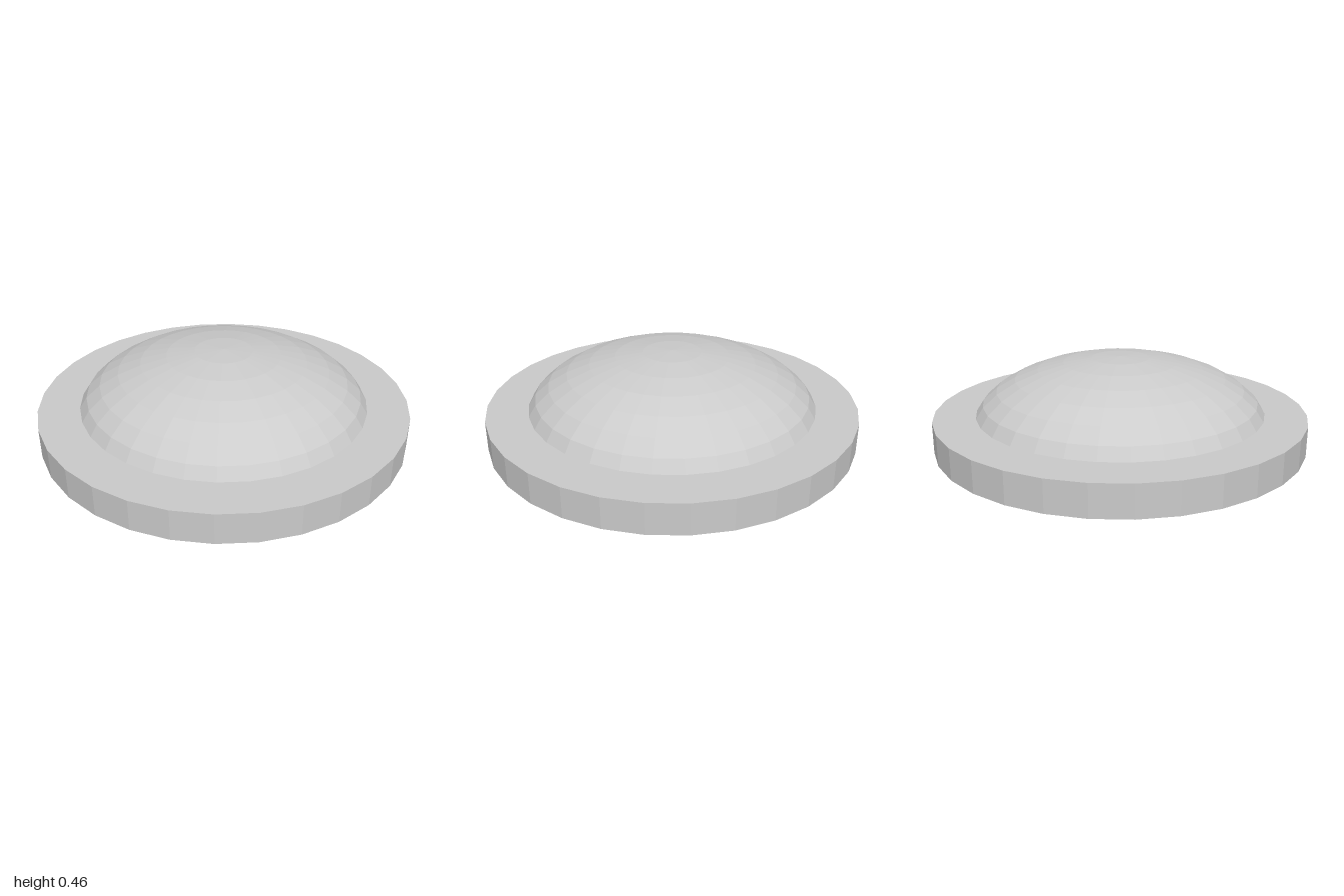
import * as THREE from 'three';

const SEGMENTS = 32;
const RIM_HEIGHT = 0.163;

export function createModel() {
  const group = new THREE.Group();
  const material = new THREE.MeshStandardMaterial({
    color: 0xcccccc,
    flatShading: true,
    side: THREE.DoubleSide,
  });

  const add = (name, geometry, y) => {
    const mesh = new THREE.Mesh(geometry, material);
    mesh.name = name;
    mesh.position.y = y;
    group.add(mesh);
    return mesh;
  };

  // Thin outer wall, open underneath
  add('rimWall', new THREE.CylinderGeometry(1, 1, RIM_HEIGHT, SEGMENTS, 1, true), RIM_HEIGHT / 2);

  // Flat plate closing the top of the wall
  add('topPlate', new THREE.CircleGeometry(1, SEGMENTS).rotateX(-Math.PI / 2), RIM_HEIGHT);

  // Flattened dome whose lower edge passes just through the plate
  const dome = new THREE.SphereGeometry(1, SEGMENTS, 7, 0, Math.PI * 2, 0, (Math.PI * 7) / 16);
  dome.scale(0.8, 0.375, 0.8);
  add('dome', dome, 0.08);

  return group;
}
